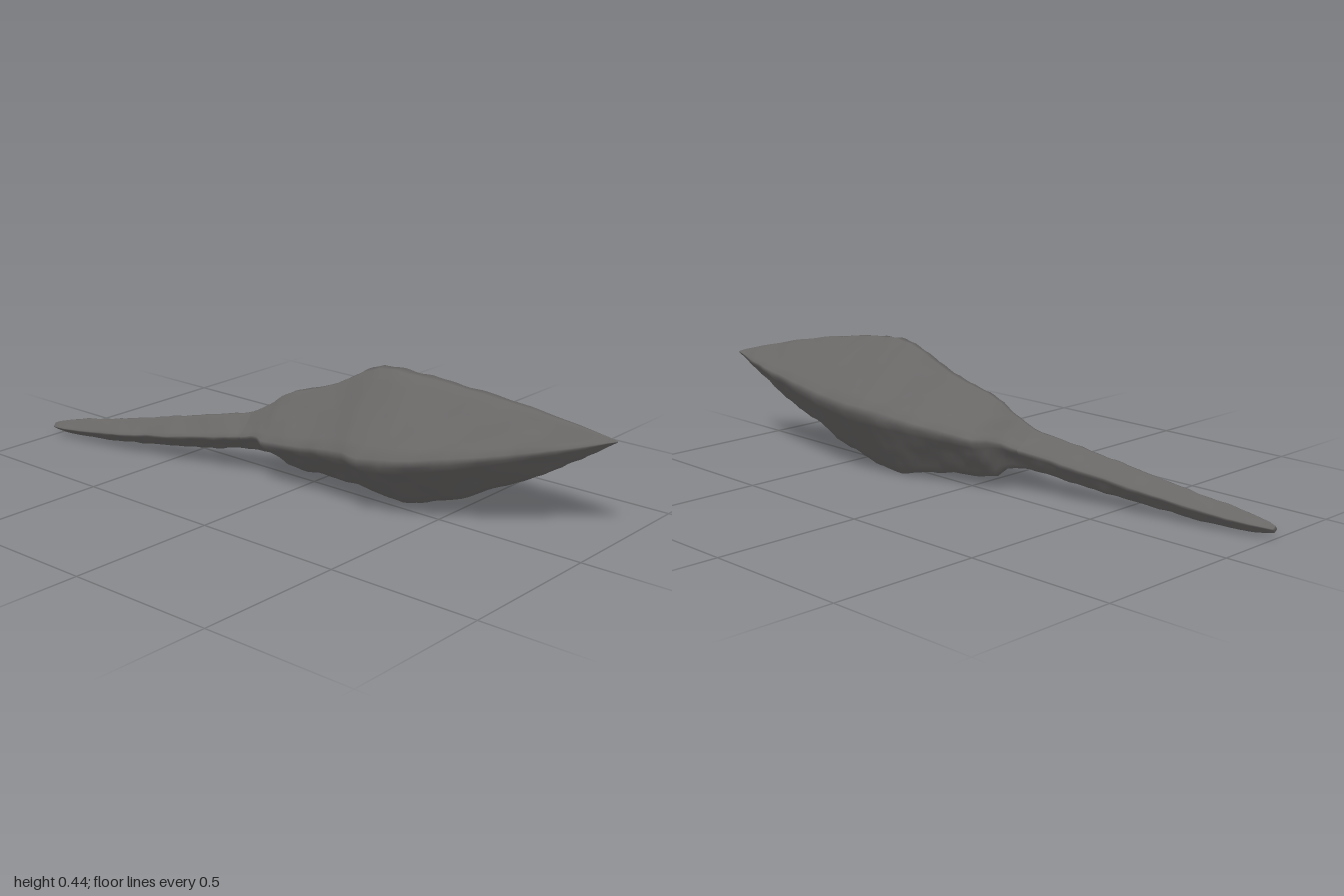
import * as THREE from 'three';

// Stations along the shaft: [x, top y, bottom y, back z, front z]
const TANG = [
  [-1, 0.043, 0.022, 0.22, 0.243],
  [-0.98, 0.052, 0.019, 0.208, 0.247],
  [-0.94, 0.063, 0.015, 0.19, 0.247],
  [-0.87, 0.078, 0.012, 0.168, 0.24],
  [-0.7, 0.108, 0.025, 0.127, 0.22],
  [-0.5, 0.15, 0.045, 0.08, 0.19],
  [-0.32, 0.187, 0.068, 0.035, 0.158],
  [-0.2, 0.212, 0.085, 0.0, 0.135],
];
const HEAD = [
  TANG[TANG.length - 1],
  [-0.15, 0.24, 0.088, -0.025, 0.135],
  [-0.12, 0.265, 0.075, -0.06, 0.143],
  [-0.09, 0.285, 0.05, -0.093, 0.157],
  [0, 0.32, 0.037, -0.13, 0.16],
  [0.1, 0.353, 0.031, -0.172, 0.162],
  [0.2, 0.41, 0.016, -0.228, 0.168],
  [0.26, 0.434, 0.008, -0.248, 0.176],
  [0.33, 0.438, 0.004, -0.251, 0.185],
  [0.4, 0.437, 0.018, -0.25, 0.178],
  [0.5, 0.43, 0.05, -0.245, 0.145],
  [0.6, 0.415, 0.092, -0.236, 0.1],
  [0.75, 0.387, 0.165, -0.217, 0.013],
  [0.9, 0.352, 0.25, -0.19, -0.088],
  [0.98, 0.33, 0.305, -0.171, -0.145],
  [1, 0.322, 0.318, -0.167, -0.163],
];

// Even field of shallow dents and bumps in the worn metal
function wear(x, y, z) {
  const a = Math.sin(31 * x + 9 * y + 3) * Math.sin(37 * y - 8 * x) * Math.sin(34 * z + 11 * x + 1);
  const b = Math.sin(67 * x - 21 * z) * Math.sin(59 * y + 13 * x + 2) * Math.sin(63 * z + 17 * y);
  return 0.005 * a + 0.003 * b;
}

// Loft of diamond sections with slightly blunted corners
function loft(stations, blunt, capStart, capEnd) {
  const steps = [blunt, 0.2, 0.35, 0.5, 0.65, 0.8, 1 - blunt];
  const rows = [];
  for (let i = 0; i < stations.length - 1; i++) {
    const a = stations[i], b = stations[i + 1];
    const n = Math.max(1, Math.round((b[0] - a[0]) / 0.02));
    for (let k = 0; k < n; k++) rows.push(a.map((v, m) => v + (b[m] - v) * k / n));
  }
  rows.push(stations[stations.length - 1]);

  const pos = [], index = [], N = steps.length * 4;
  for (const [x, top, bottom, back, front] of rows) {
    const yc = (top + bottom) / 2, zc = (back + front) / 2;
    const h = (top - bottom) / 2, w = (front - back) / 2;
    const corners = [[h, 0.1 * w], [-0.12 * h, w], [-h, -0.1 * w], [0.12 * h, -w]];
    const grow = 1 / (1 - blunt);
    corners.forEach((c, e) => {
      const d = corners[(e + 1) % 4];
      for (const t of steps) {
        const y = (c[0] + (d[0] - c[0]) * t) * grow;
        const z = (c[1] + (d[1] - c[1]) * t) * grow;
        const s = 1 + wear(x, yc + y, zc + z) / Math.max(Math.hypot(y, z), 0.06);
        pos.push(x, yc + y * s, zc + z * s);
      }
    });
  }
  for (let i = 0; i < rows.length - 1; i++) {
    for (let j = 0; j < N; j++) {
      const a = i * N + j, b = i * N + (j + 1) % N;
      index.push(a, b, a + N, b, b + N, a + N);
    }
  }
  const cap = (row, flip) => {
    const [x, top, bottom, back, front] = rows[row];
    const c = pos.length / 3;
    pos.push(x, (top + bottom) / 2, (back + front) / 2);
    for (let j = 0; j < N; j++) {
      const a = row * N + j, b = row * N + (j + 1) % N;
      index.push(c, flip ? b : a, flip ? a : b);
    }
  };
  if (capStart) cap(0, true);
  if (capEnd) cap(rows.length - 1, false);

  const g = new THREE.BufferGeometry();
  g.setAttribute('position', new THREE.Float32BufferAttribute(pos, 3));
  g.setIndex(index);
  g.computeVertexNormals();
  return g;
}

export function createModel() {
  const group = new THREE.Group();
  group.name = 'arrowhead';
  const iron = new THREE.MeshStandardMaterial({ color: 0x696766 });
  iron.name = 'worn iron';

  // Four-sided point with sloping shoulders
  const head = new THREE.Mesh(loft(HEAD, 0.06, false, true), iron);
  head.name = 'head';

  // Slim tapering spike that fits into the shaft
  const tang = new THREE.Mesh(loft(TANG, 0.06, true, false), iron);
  tang.name = 'tang';

  group.add(head, tang);
  return group;
}
